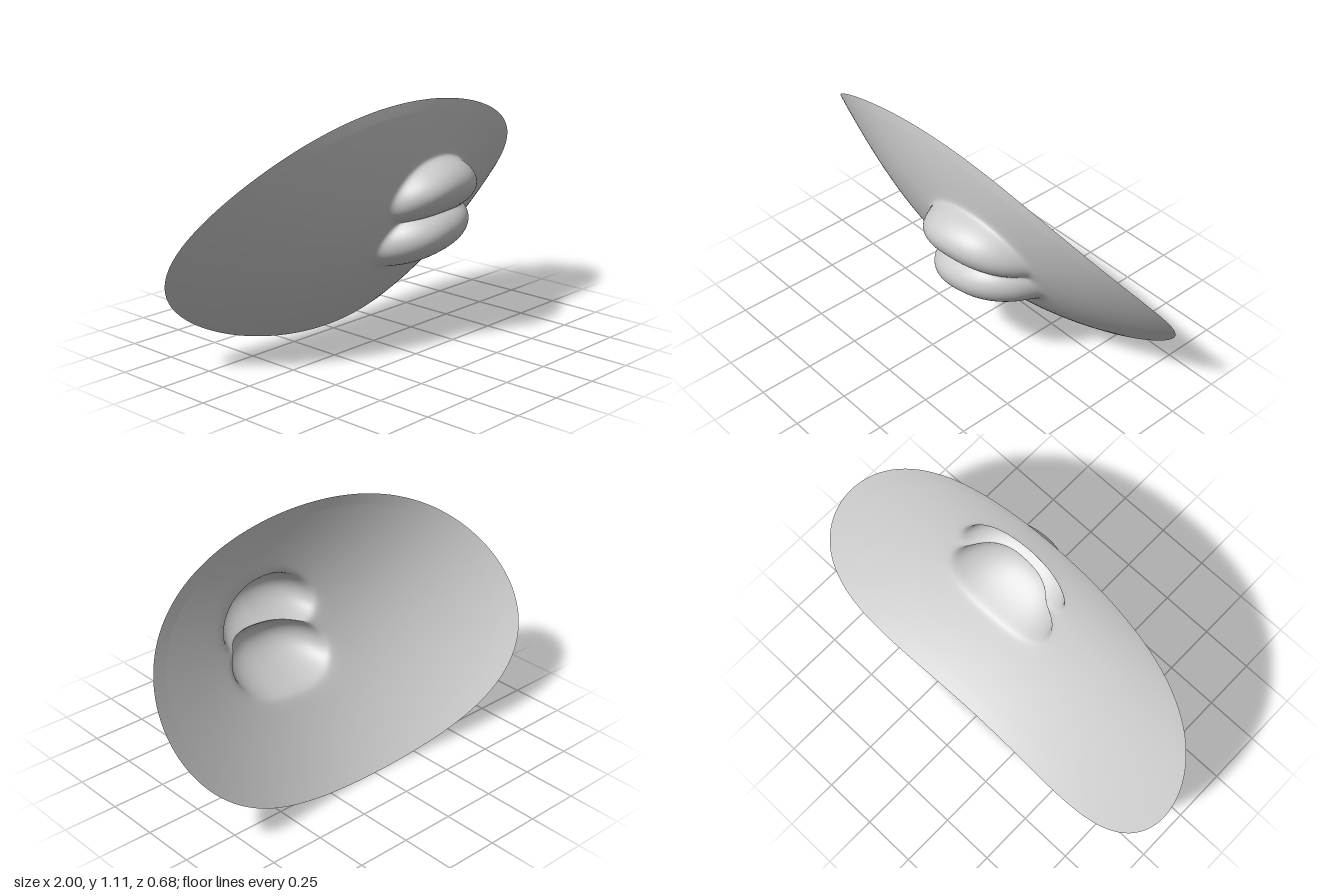
import * as THREE from 'three';

const CY = 0.553; // half the height of the oval sheet

// Soft-edged dome: 1 in the middle, falling steeply to a thin skirt
function dome(dx, dy, w, up, down) {
  const s = 1 - Math.pow(Math.abs(dx) / w, 2.5) - (dy / (dy > 0 ? up : down)) ** 2;
  return Math.pow((s + Math.sqrt(s * s + 0.01)) / 2, 0.6);
}

// Depth of the curved oval sheet: rim curve plus a forward belly
function sheetZ(x, y) {
  const s = (y - CY) / CY;
  const rim = -0.16 + 0.41 * s + 0.1125 * s * s - 0.153 * s * s * s;
  const belly = 0.29 - 0.33 * (y - CY);
  return rim + belly * Math.max(0, 1 - x * x - s * s);
}

// Height of the two lips, set off to one side
function lipsZ(x, y) {
  const dx = x - 0.2;
  const upper = 0.168 * dome(dx, y - (0.708 - 0.7 * dx * dx), 0.27, 0.125, 0.14);
  const lower = 0.2 * dome(dx, y - (0.482 + 0.12 * dx), 0.27, 0.145, 0.135);
  // smooth maximum keeps a narrow crease between the lips
  return (upper + lower + Math.sqrt((upper - lower) ** 2 + 0.0001)) / 2 - 0.004;
}

export function createModel() {
  const group = new THREE.Group();
  const rings = 140, segs = 224;
  const cx = 0.2, cy = 0.59; // rings spread out from between the lips
  const pos = [], index = [];

  const add = (x, y) => pos.push(x, y, sheetZ(x, y) + lipsZ(x, y) * Math.min(1, 6 * Math.max(0, 1 - x * x - ((y - CY) / CY) ** 2)));

  add(cx, cy);
  for (let r = 1; r <= rings; r++) {
    const t = Math.pow(r / rings, 1.25);
    for (let i = 0; i < segs; i++) {
      const a = (i / segs) * Math.PI * 2;
      add(cx + (Math.cos(a) - cx) * t, cy + (CY + CY * Math.sin(a) - cy) * t);
    }
  }
  for (let i = 0; i < segs; i++) {
    const j = (i + 1) % segs;
    index.push(0, 1 + i, 1 + j);
    for (let r = 0; r < rings - 1; r++) {
      const a = 1 + r * segs, b = a + segs;
      index.push(a + i, b + i, b + j, a + i, b + j, a + j);
    }
  }

  const geo = new THREE.BufferGeometry();
  geo.setAttribute('position', new THREE.Float32BufferAttribute(pos, 3));
  geo.setIndex(index);
  geo.computeVertexNormals();

  const mesh = new THREE.Mesh(geo, new THREE.MeshStandardMaterial({ color: 0xcccccc, side: THREE.DoubleSide }));
  mesh.name = 'mouthSheet';
  group.add(mesh);
  return group;
}
